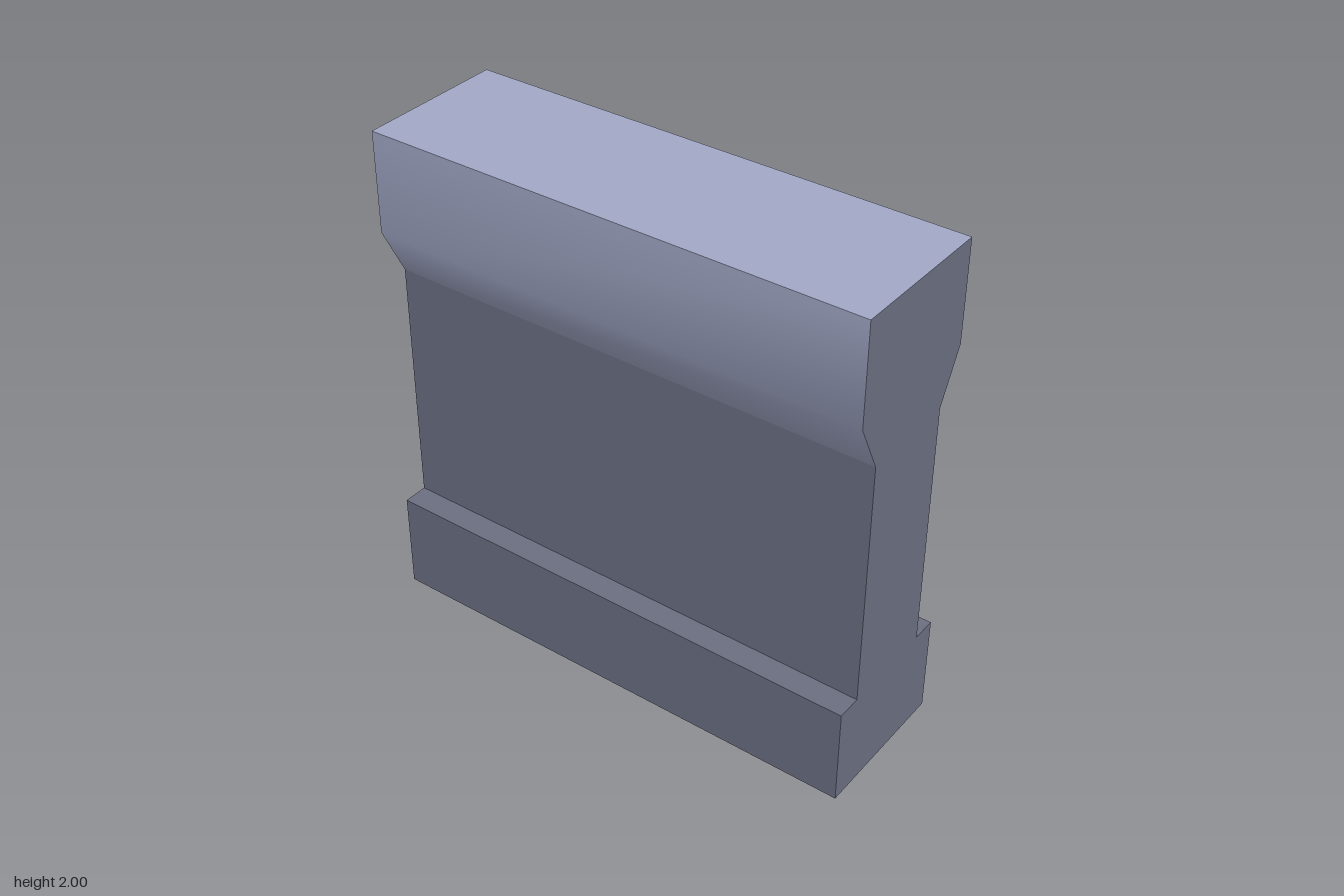
import * as THREE from 'three';
import { toCreasedNormals } from 'three/addons/utils/BufferGeometryUtils.js';

const LENGTH = 2;

// Extrude a mirrored half profile of [half depth, height] points along x
function wallSection(half) {
  const mirrored = half.map(([d, y]) => [-d, y]).reverse();
  const shape = new THREE.Shape([...half, ...mirrored].map(([d, y]) => new THREE.Vector2(d, y)));
  const geometry = new THREE.ExtrudeGeometry(shape, { depth: LENGTH, bevelEnabled: false });
  geometry.translate(0, 0, -LENGTH / 2);
  geometry.rotateY(Math.PI / 2);
  return geometry;
}

export function createModel() {
  const stone = new THREE.MeshStandardMaterial({ color: 0x6b6f82 });
  stone.name = 'dark stone';
  const coping = new THREE.MeshStandardMaterial({ color: 0xa3a9c8 });
  coping.name = 'light coping';

  const group = new THREE.Group();
  group.name = 'parapetWall';

  // Stepped plinth and upright panel
  const wall = new THREE.Mesh(
    wallSection([[0.3, 0], [0.3, 0.4], [0.2, 0.4], [0.2, 1.4]]), stone);
  wall.name = 'wallAndPlinth';

  // Flared cap: plain ends, light faces softened across the flare
  const capGeometry = toCreasedNormals(
    wallSection([[0.2, 1.4], [0.3, 1.6], [0.3, 2]]), 0.7);
  const cap = new THREE.Mesh(capGeometry, [stone, coping]);
  cap.name = 'flaredCap';

  group.add(wall, cap);
  return group;
}
